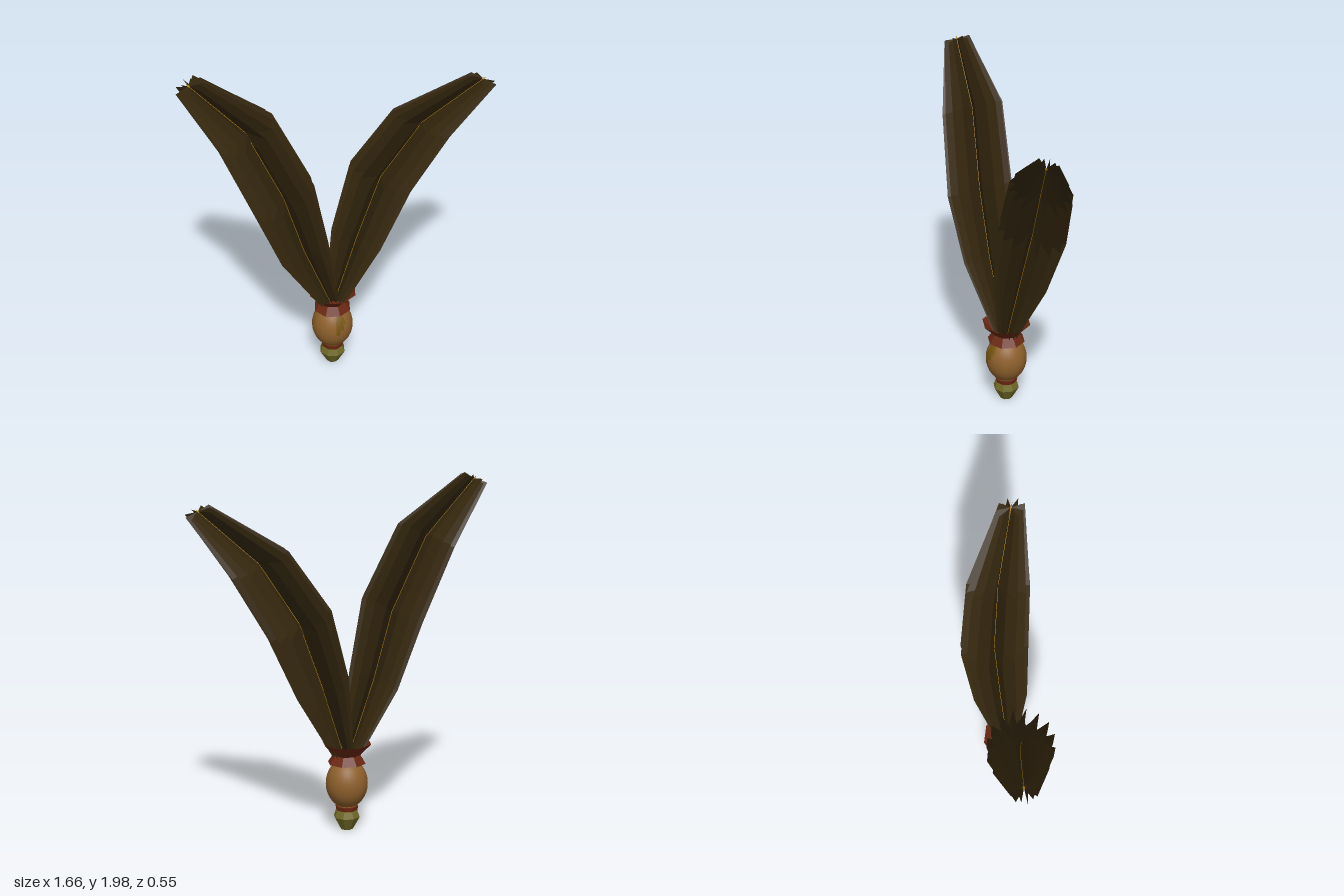
import * as THREE from 'three';

const mat = (name, color, extra = {}) => {
  const m = new THREE.MeshStandardMaterial({ color, ...extra });
  m.name = name;
  return m;
};

export function createModel() {
  const root = new THREE.Group();
  root.name = 'featherOrnament';
  const both = { side: THREE.DoubleSide, flatShading: true };
  const feather = mat('dark feather', 0x36280f, both);
  const quillGold = mat('quill gold', 0xb8860b);
  const leather = mat('red leather', 0x6a2812, both);
  const wood = mat('tan wood', 0x8e602c);
  const olive = mat('olive cap', 0x716a28, { flatShading: true });
  const stain = mat('ochre stain', 0x74560f, { side: THREE.DoubleSide });

  const add = (parent, name, geo, material) => {
    const mesh = new THREE.Mesh(geo, material);
    mesh.name = name;
    parent.add(mesh);
    return mesh;
  };
  const lathe = (pts, sides) =>
    new THREE.LatheGeometry(pts.map(p => new THREE.Vector2(...p)), sides);

  // Handle: everything turned around one vertical axis
  const handle = new THREE.Group();
  handle.name = 'handle';
  handle.position.set(-0.02, 0, -0.05);
  root.add(handle);

  add(handle, 'endCap', lathe([[0, 0], [0.036, 0], [0.075, 0.072], [0.062, 0.108], [0, 0.108]], 8), olive);
  add(handle, 'neck', new THREE.CylinderGeometry(0.054, 0.054, 0.06, 16).translate(0, 0.12, 0), wood);
  add(handle, 'neckBinding', lathe([[0.05, 0.113], [0.062, 0.113], [0.066, 0.136], [0.05, 0.136]], 8), leather);
  const ball = add(handle, 'ball', new THREE.SphereGeometry(0.118, 28, 18), wood);
  ball.scale.y = 1.2;
  ball.position.y = 0.266;
  add(handle, 'collar', lathe([[0.108, 0.385], [0.076, 0.433], [0.14, 0.5]], 8), leather);
  add(handle, 'collarFloor', new THREE.CylinderGeometry(0.076, 0.076, 0.004, 8).translate(0, 0.433, 0), leather);

  // Painted drips on the front of the ball
  for (const [angle, width, low] of [[-0.12, 0.2, 1.62], [0.08, 0.22, 1.42], [0.26, 0.1, 1.18]]) {
    const drip = add(handle, 'drip',
      new THREE.SphereGeometry(0.1195, 5, 8, Math.PI / 2 + angle - width / 2, width, 0.5, low - 0.5), stain);
    drip.scale.y = 1.2;
    drip.position.y = 0.266;
  }

  // Feather: flat vanes radiating from a curved quill; each ring is [x, y, z, radius]
  const VANES = 16;
  function makeFeather(name, rings, across) {
    const group = new THREE.Group();
    group.name = name;
    const u = new THREE.Vector3(...across).normalize();
    const v = new THREE.Vector3(0, 0, 1);
    const centres = rings.map(r => new THREE.Vector3(r[0], r[1], r[2]));
    const last = rings.length - 1;
    const tipDir = centres[last].clone().sub(centres[last - 1]).normalize();
    const pos = [], index = [];
    for (let k = 0; k < VANES; k++) {
      const a = k / VANES * Math.PI * 2;
      const out = u.clone().multiplyScalar(Math.cos(a)).addScaledVector(v, Math.sin(a));
      rings.forEach((r, i) => {
        const edge = centres[i].clone().addScaledVector(out, r[3]);
        // Ragged ends
        if (i === last) edge.addScaledVector(tipDir, k % 2 ? -0.015 : 0.004);
        const n = pos.length / 3;
        pos.push(...centres[i].toArray(), ...edge.toArray());
        if (i < last) index.push(n, n + 1, n + 3, n, n + 3, n + 2);
      });
    }
    const geo = new THREE.BufferGeometry();
    geo.setAttribute('position', new THREE.Float32BufferAttribute(pos, 3));
    geo.setIndex(index);
    const flat = geo.toNonIndexed();
    flat.computeVertexNormals();
    add(group, 'vanes', flat, feather);

    // Quill, following the same centres
    const path = new THREE.CurvePath();
    for (let i = 0; i < last; i++) path.add(new THREE.LineCurve3(centres[i], centres[i + 1]));
    add(group, 'quill', new THREE.TubeGeometry(path, 24, 0.007, 6), quillGold);
    const tip = add(group, 'quillTip', new THREE.ConeGeometry(0.007, 0.02, 6), quillGold);
    tip.position.copy(centres[last]).addScaledVector(tipDir, 0.008);
    tip.quaternion.setFromUnitVectors(new THREE.Vector3(0, 1, 0), tipDir);
    root.add(group);
  }

  makeFeather('rightFeather', [
    [-0.04, 0.44, -0.048, 0.062],
    [-0.195, 0.835, -0.045, 0.148],
    [-0.31, 1.215, -0.05, 0.185],
    [-0.49, 1.63, -0.11, 0.172],
    [-0.765, 1.94, -0.17, 0.076],
  ], [0.88, 0.45, 0]);
  makeFeather('leftFeather', [
    [0.0, 0.44, -0.048, 0.062],
    [0.13, 0.825, -0.048, 0.153],
    [0.27, 1.2, -0.04, 0.188],
    [0.47, 1.535, 0.04, 0.172],
    [0.75, 1.815, 0.19, 0.074],
  ], [0.88, -0.4, 0]);

  return root;
}
